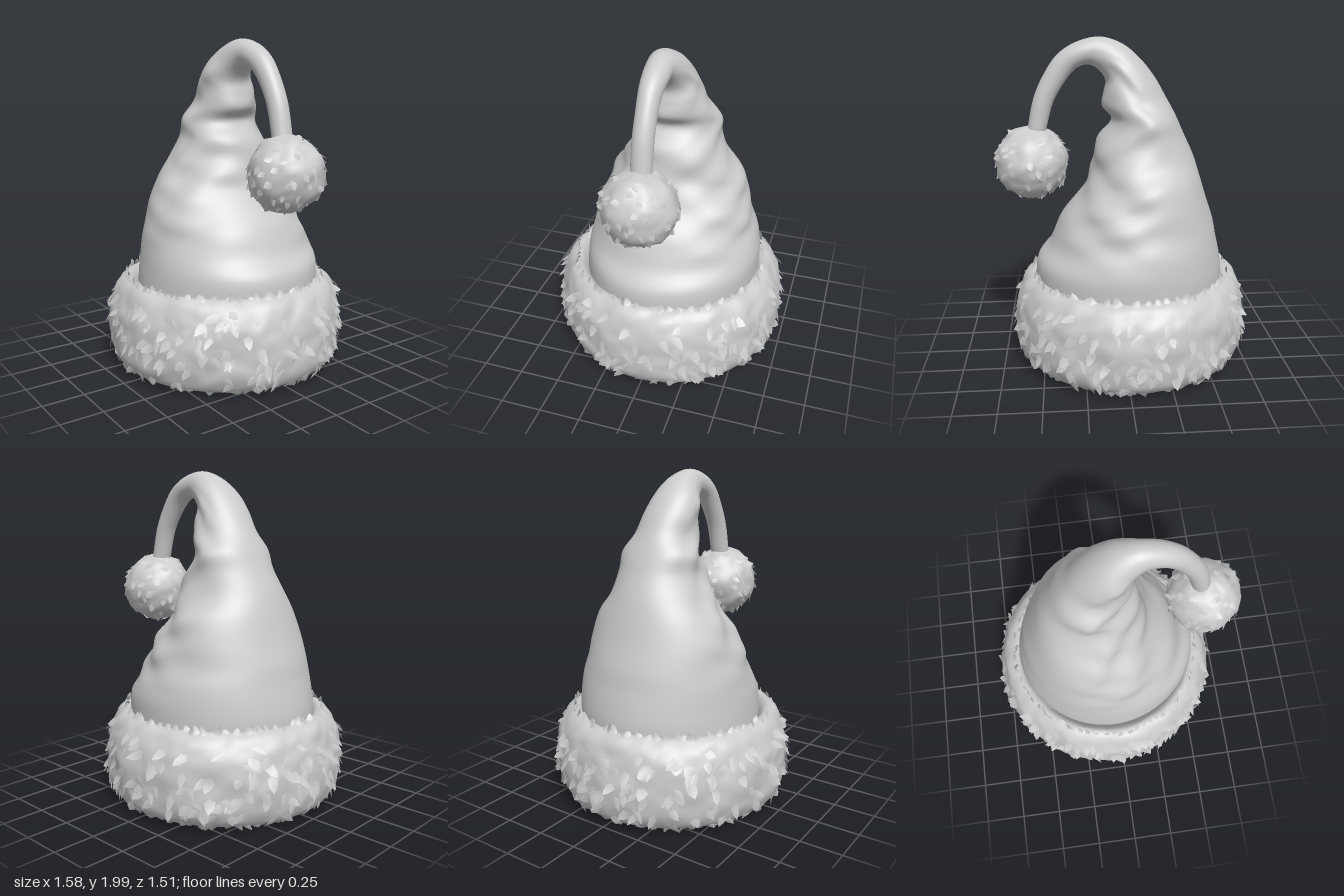
import * as THREE from 'three';
import { mergeVertices, mergeGeometries } from 'three/addons/utils/BufferGeometryUtils.js';

const V = (x, y, z = 0) => new THREE.Vector3(x, y, z);
const TAU = Math.PI * 2;

// Small seeded random generator
function seeded(seed) {
  return () => {
    seed = (seed * 16807) % 2147483647;
    return seed / 2147483647;
  };
}

// Smooth lumpy field for fur
function lumps(p, f) {
  return (Math.sin(p.x * f + 2 * Math.sin(p.y * f * 0.7)) +
    Math.sin(p.y * f * 1.3 + 2 * Math.sin(p.z * f * 0.8)) +
    Math.sin(p.z * f * 1.1 + 2 * Math.sin(p.x * f * 0.9))) / 3;
}

// Smooth geometry from a grid of points, rows of nu + 1
function gridGeometry(points, nu, nv) {
  const index = [];
  for (let j = 0; j < nv; j++)
    for (let i = 0; i < nu; i++) {
      const a = j * (nu + 1) + i, b = a + 1, c = a + nu + 1, d = c + 1;
      index.push(a, b, d, a, d, c);
    }
  let g = new THREE.BufferGeometry().setFromPoints(points);
  g.setIndex(index);
  g = mergeVertices(g, 1e-5);
  g.computeVertexNormals();
  return g;
}

// Surface closed in u, from fn(u, v)
function surface(nu, nv, fn) {
  const points = [];
  for (let j = 0; j <= nv; j++)
    for (let i = 0; i <= nu; i++) points.push(fn((i % nu) / nu, j / nv));
  return gridGeometry(points, nu, nv);
}

// Pointed lock of fur that hugs the surface fn and lifts off towards its tip.
// su, sv: surface lengths covered by u and v; angle 0 points along +v
function lock(fn, u, v, su, sv, angle, length, width, lift) {
  const p = fn(u, v);
  const n = fn(u + 0.01 / su, v).sub(p).cross(fn(u, v + 0.01 / sv).sub(p)).normalize();
  const sin = Math.sin(angle), cos = Math.cos(angle), points = [];
  for (let j = 0; j <= 4; j++)
    for (let i = -1; i <= 1; i++) {
      const t = j / 4, along = t * length;
      const across = i * width * Math.sqrt(1 - t) * (0.7 + 0.3 * t);
      const q = fn(u + (along * sin + across * cos) / su, v + (along * cos - across * sin) / sv);
      const rise = lift * t * t - 0.006 * (1 - t) + (i ? -0.004 : 0.004) * (1 - t);
      points.push(q.addScaledVector(n, rise));
    }
  return gridGeometry(points, 2, 4);
}

// Cross-sections of the cloth: outer x, y, inner x, y, depth to front, depth to back
const SECTIONS = [
  [-0.59, 0.10, 0.49, 0.10, 0.53, 0.53],
  [-0.61, 0.35, 0.52, 0.35, 0.54, 0.56],
  [-0.62, 0.58, 0.54, 0.58, 0.53, 0.57],
  [-0.605, 0.69, 0.525, 0.67, 0.52, 0.57],
  [-0.58, 0.80, 0.455, 0.76, 0.505, 0.55],
  [-0.56, 0.90, 0.41, 0.86, 0.48, 0.51],
  [-0.52, 1.02, 0.32, 1.00, 0.45, 0.48],
  [-0.47, 1.18, 0.22, 1.13, 0.38, 0.42],
  [-0.43, 1.30, 0.19, 1.25, 0.30, 0.33],
  [-0.37, 1.43, 0.15, 1.40, 0.23, 0.29],
  [-0.32, 1.54, 0.07, 1.52, 0.22, 0.27],
  [-0.26, 1.65, 0.12, 1.60, 0.16, 0.21],
  [-0.19, 1.77, 0.11, 1.68, 0.16, 0.18],
  [-0.10, 1.88, 0.10, 1.75, 0.15, 0.15],
  [0.00, 1.96, 0.14, 1.81, 0.11, 0.12],
  [0.13, 2.00, 0.20, 1.84, 0.08, 0.085],
  [0.27, 1.97, 0.26, 1.825, 0.07, 0.075],
  [0.38, 1.90, 0.30, 1.79, 0.065, 0.065],
  [0.46, 1.79, 0.36, 1.71, 0.06, 0.06],
  [0.525, 1.65, 0.41, 1.62, 0.06, 0.06],
  [0.57, 1.45, 0.465, 1.42, 0.06, 0.06],
];

function clothGeometry() {
  const outer = new THREE.CatmullRomCurve3(SECTIONS.map(s => V(s[0], s[1], s[4])));
  const inner = new THREE.CatmullRomCurve3(SECTIONS.map(s => V(s[2], s[3], s[5])));
  return surface(72, 120, (u, v) => {
    const o = outer.getPoint(v), i = inner.getPoint(v), a = u * TAU;
    const c = Math.cos(a), s = Math.sin(a);
    const y = (o.y + i.y) / 2 + (o.y - i.y) / 2 * c;
    // Slanting folds on the side under the bend, fading out towards the outer side
    const zone = THREE.MathUtils.smoothstep(v, 0.14, 0.4) * (1 - THREE.MathUtils.smoothstep(v, 0.6, 0.75));
    const flank = (1 - THREE.MathUtils.smoothstep(c, -0.3, 0.65)) * (0.35 + 0.65 * Math.abs(s));
    const ridge = Math.sin(y * 22 + c * 5 + 1.5 * Math.sin(2 * a + y * 5)) +
      0.4 * Math.sin(y * 37 - c * 5 + 3 * s);
    const k = 1 + 0.045 * zone * flank * ridge;
    return V((o.x + i.x) / 2 + (o.x - i.x) / 2 * c * k, y, s * (s > 0 ? o.z : i.z) * k);
  });
}

// Fur band: a closed rounded profile carried round the opening
const BAND_X = -0.045;
const bandProfile = new THREE.CatmullRomCurve3([
  [0.53, 0.12], [0.59, 0.05], [0.66, 0.05], [0.71, 0.13], [0.722, 0.30],
  [0.70, 0.45], [0.65, 0.54], [0.59, 0.57], [0.54, 0.5], [0.52, 0.3],
].map(([r, y]) => V(r, y)), true);

function bandPoint(u, v) {
  const q = bandProfile.getPointAt(v % 1), a = -u * TAU;
  const p = V(q.x * Math.cos(a), q.y, q.x * Math.sin(a));
  const grow = q.x > 0.56 ? 0.009 * lumps(p, 17) + 0.005 * lumps(p, 37) : 0;
  const r = q.x + grow;
  return V(BAND_X + r * Math.cos(a), q.y + grow * 0.6, r * Math.sin(a));
}

function bandLocks() {
  const rand = seeded(77), list = [], edge = 76;
  const add = (u, v, angle, length, width, lift) =>
    list.push(lock(bandPoint, u, v, TAU * 0.68, bandProfile.getLength(), angle, length, width, lift));
  // Locks combed over the outside, mostly downwards
  for (let i = 0; i < 330; i++)
    add((i * 0.618034) % 1, 0.15 + rand() * 0.4, Math.PI + (rand() - 0.5) * 2.2,
      0.09 + rand() * 0.05, 0.03 + rand() * 0.02, 0.015 + rand() * 0.025);
  // Jagged upper and lower edges
  for (let i = 0; i < edge; i++) {
    add((i + rand()) / edge, 0.575 + rand() * 0.015, (rand() - 0.5) * 1.3, 0.05 + rand() * 0.02, 0.035, 0.035 + rand() * 0.03);
    add((i + rand()) / edge, 0.14 + rand() * 0.03, Math.PI + (rand() - 0.5) * 1.3, 0.06 + rand() * 0.03, 0.035, 0.02 + rand() * 0.02);
  }
  return mergeGeometries(list);
}

// Pompom: a lumpy ball
const BALL = V(0.55, 1.262, 0), BALL_R = 0.216;

function ballPoint(u, v) {
  const a = -u * TAU, b = (v - 0.5) * Math.PI;
  const d = V(Math.cos(b) * Math.cos(a), Math.sin(b), Math.cos(b) * Math.sin(a));
  const r = BALL_R + 0.008 * lumps(d, 6) + 0.004 * lumps(d, 13);
  return d.multiplyScalar(r).add(BALL);
}

function ballLocks() {
  const rand = seeded(31), list = [], count = 110;
  for (let i = 0; i < count; i++) {
    const b = Math.asin(0.96 - 1.92 * (i + 0.5) / count);
    list.push(lock(ballPoint, (i * 0.618034) % 1, b / Math.PI + 0.5,
      TAU * BALL_R * Math.cos(b), Math.PI * BALL_R, Math.PI + (rand() - 0.5) * 3,
      0.06 + rand() * 0.03, 0.026 + rand() * 0.012, 0.01 + rand() * 0.015));
  }
  return mergeGeometries(list);
}

export function createModel() {
  const model = new THREE.Group();
  const material = new THREE.MeshStandardMaterial({ color: 0xcccccc, side: THREE.DoubleSide });
  const add = (name, geometry) => {
    const mesh = new THREE.Mesh(geometry, material);
    mesh.name = name;
    model.add(mesh);
  };
  add('clothCone', clothGeometry());
  add('furBand', surface(150, 60, bandPoint));
  add('furBandLocks', bandLocks());
  add('pompom', surface(48, 32, ballPoint));
  add('pompomLocks', ballLocks());
  return model;
}
